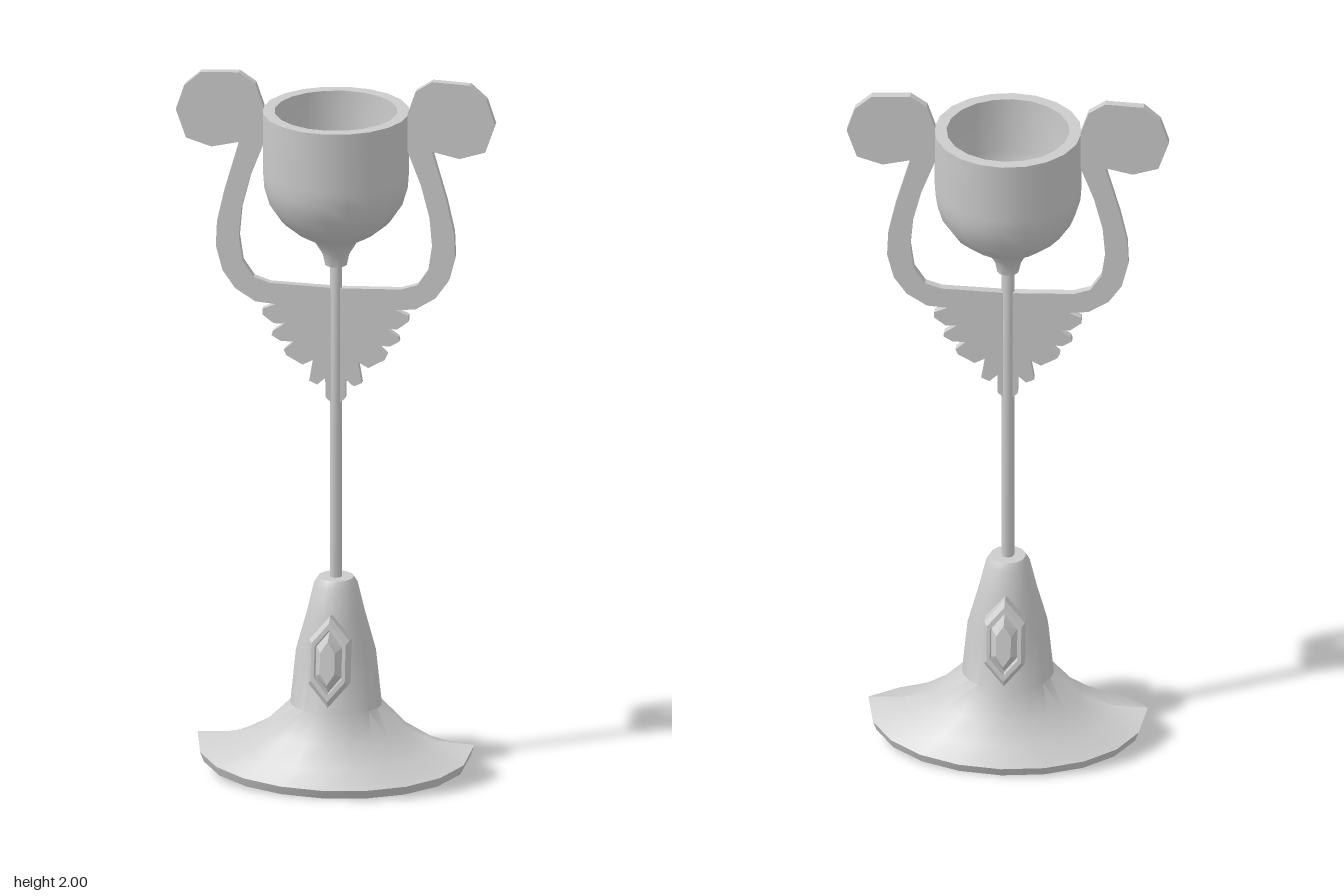
import * as THREE from 'three';
import { toCreasedNormals } from 'three/addons/utils/BufferGeometryUtils.js';

const SIDES = 20;
const material = new THREE.MeshStandardMaterial({ color: 0xcccccc });

function addPart(parent, name, geometry, crease = 0.6) {
  const mesh = new THREE.Mesh(toCreasedNormals(geometry, crease), material);
  mesh.name = name;
  parent.add(mesh);
  return mesh;
}

// Skin a stack of closed rings, skipping collapsed triangles at the tips
function loft(rings) {
  const positions = [];
  const triangle = (a, b, c) => {
    if (a.distanceTo(b) < 1e-6 || b.distanceTo(c) < 1e-6 || c.distanceTo(a) < 1e-6) return;
    for (const p of [a, b, c]) positions.push(p.x, p.y, p.z);
  };
  for (let i = 0; i < rings.length - 1; i++) {
    const low = rings[i], high = rings[i + 1], n = low.length;
    for (let j = 0; j < n; j++) {
      const k = (j + 1) % n;
      triangle(low[j], high[j], low[k]);
      triangle(low[k], high[j], high[k]);
    }
  }
  const geometry = new THREE.BufferGeometry();
  geometry.setAttribute('position', new THREE.Float32BufferAttribute(positions, 3));
  geometry.computeVertexNormals();
  return geometry;
}

// Oval ring whose height runs from yEnd (at +-x) to yFront (at +-z)
function ovalRing([rx, rz, yEnd, yFront]) {
  return Array.from({ length: SIDES }, (_, j) => {
    const a = (j / SIDES) * Math.PI * 2;
    const bend = Math.pow(Math.abs(Math.sin(a)), 0.6);
    return new THREE.Vector3(rx * Math.cos(a), yEnd + (yFront - yEnd) * bend, rz * Math.sin(a));
  });
}

// Elongated hexagon ring for the gem
function hexRing([w, h, z]) {
  const s = h * 0.48;
  return [[0, h], [w, s], [w, -s], [0, -h], [-w, -s], [-w, s]]
    .map(([x, y]) => new THREE.Vector3(x, y, z));
}

function makeGem(name) {
  const gem = new THREE.Group();
  gem.name = name;
  const frame = [[0.055, 0.126, -0.04], [0.055, 0.126, 0.018], [0.047, 0.108, 0.032],
    [0.038, 0.09, 0.032], [0.036, 0.086, 0.016], [0, 0, 0.016]];
  const stone = [[0.036, 0.086, 0.014], [0.02, 0.06, 0.048], [0, 0, 0.048]];
  addPart(gem, 'gemFrame', loft(frame.map(hexRing)), 0.1);
  addPart(gem, 'gemStone', loft(stone.map(hexRing)), 0.1);
  return gem;
}

export function createModel() {
  const model = new THREE.Group();
  model.name = 'goblet';

  // Foot: oval brim with drooping front and back, rising into a tapered tower
  const foot = [
    [0, 0, 0.07, 0.07], [0.37, 0.23, 0.07, 0.005], [0.38, 0.24, 0.1, 0.03],
    [0.28, 0.198, 0.105, 0.075], [0.2, 0.158, 0.135, 0.13], [0.125, 0.122, 0.2, 0.21],
    [0.11, 0.105, 0.35, 0.35], [0.08, 0.078, 0.46, 0.46], [0.06, 0.06, 0.545, 0.545],
    [0.048, 0.048, 0.565, 0.565], [0, 0, 0.565, 0.565],
  ];
  addPart(model, 'foot', loft(foot.map(ovalRing)));

  // Gems on the front and back of the tower, leaning with its slope
  for (const side of [1, -1]) {
    const mount = new THREE.Group();
    mount.name = side > 0 ? 'frontGemMount' : 'backGemMount';
    mount.rotation.y = side > 0 ? 0 : Math.PI;
    const gem = makeGem('gem');
    gem.position.set(0, 0.358, 0.109);
    gem.rotation.x = -0.16;
    mount.add(gem);
    model.add(mount);
  }

  // Stem
  const stem = new THREE.CylinderGeometry(0.017, 0.017, 0.92, 8);
  stem.translate(0, 1.01, 0);
  addPart(model, 'stem', stem, 0.9);

  // Hollow cup with a funnel-shaped neck
  const cup = [
    [0, 1.46], [0.03, 1.46], [0.036, 1.49], [0.06, 1.53], [0.105, 1.555], [0.15, 1.592],
    [0.182, 1.64], [0.197, 1.69], [0.2, 1.73], [0.2, 1.9], [0.167, 1.9], [0.167, 1.74],
    [0.155, 1.68], [0.12, 1.625], [0.07, 1.59], [0, 1.57],
  ].map(([x, y]) => new THREE.Vector2(x, y));
  addPart(model, 'cup', new THREE.LatheGeometry(cup, SIDES), 0.7);

  // Handle plate: right half outline from bottom tip to top centre, mirrored
  const feathers = [
    [0, 1.1], [0.012, 1.066], [0.027, 1.08], [0.028, 1.135], [0.05, 1.115], [0.072, 1.125],
    [0.062, 1.185], [0.09, 1.17], [0.135, 1.195], [0.142, 1.21], [0.115, 1.235], [0.15, 1.235],
    [0.175, 1.25], [0.172, 1.262], [0.14, 1.285], [0.17, 1.285], [0.2, 1.308], [0.2, 1.325],
    [0.165, 1.34],
  ];
  const outerArm = [
    [0.22, 1.345], [0.275, 1.38], [0.31, 1.43], [0.328, 1.5], [0.325, 1.57], [0.305, 1.66], [0.265, 1.8],
  ];
  const disc = [
    [0.34, 1.783], [0.41, 1.805], [0.438, 1.885], [0.415, 1.955], [0.37, 1.995],
    [0.265, 2], [0.22, 1.97], [0.198, 1.905],
  ];
  const innerArm = [
    [0.197, 1.8], [0.235, 1.7], [0.258, 1.61], [0.265, 1.53], [0.255, 1.46], [0.225, 1.415], [0.18, 1.4],
    [0.02, 1.395], [0, 1.388],
  ];
  const half = [...feathers, ...outerArm, ...disc, ...innerArm];
  const mirrored = half.slice(1, -1).reverse().map(([x, y]) => [-x, y]);
  const outline = new THREE.Shape([...half, ...mirrored].map(([x, y]) => new THREE.Vector2(x, y)));
  const plate = new THREE.ExtrudeGeometry(outline, { depth: 0.022, bevelEnabled: false });
  plate.translate(0, 0, -0.011);
  addPart(model, 'handles', plate, 0.5);

  return model;
}
